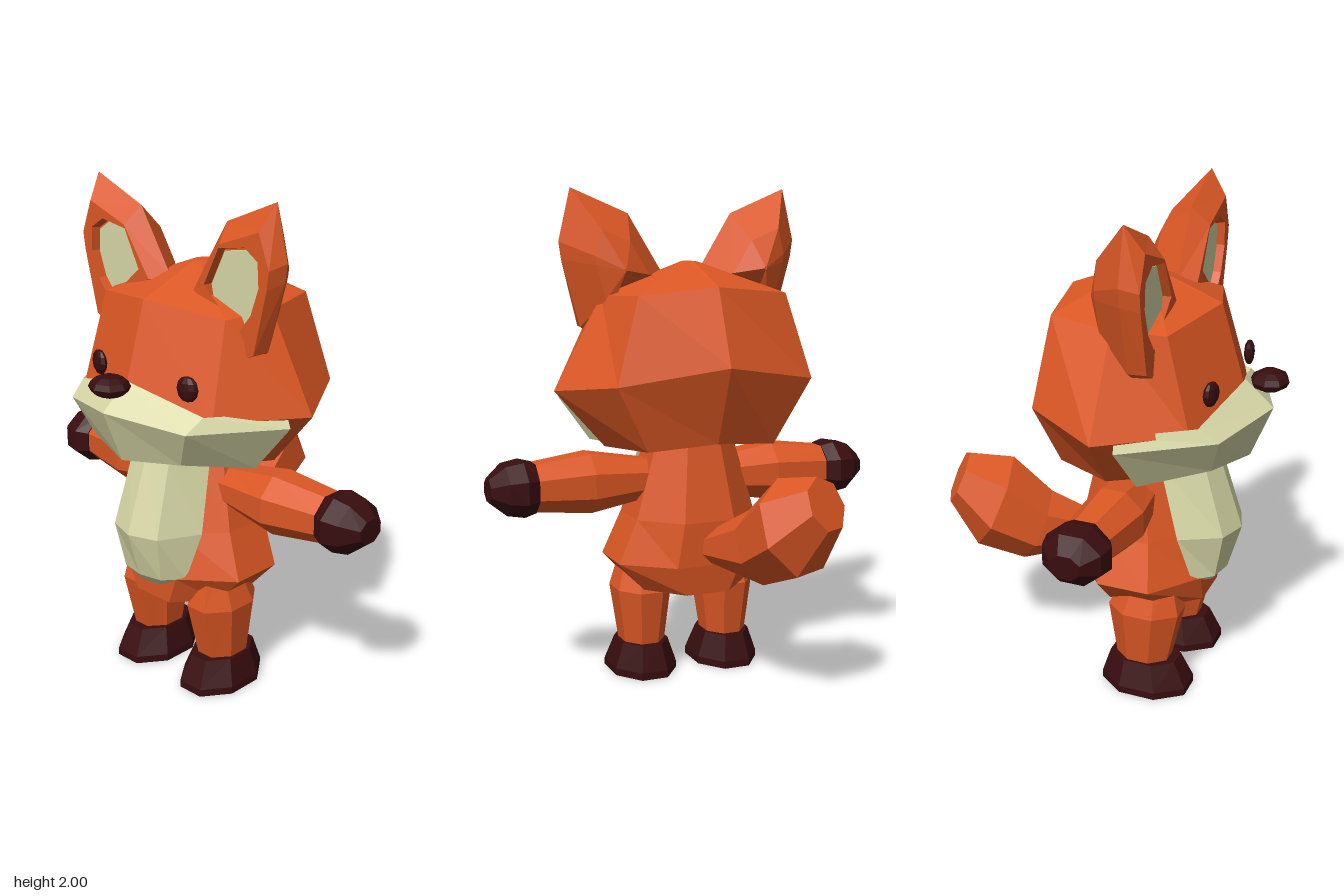
import * as THREE from 'three';

const make = (color) => new THREE.MeshStandardMaterial({ color, flatShading: true });

// Closed faceted solid through a list of equal-length point rings, capped at both ends.
function loft(rings) {
  const n = rings[0].length, tris = [];
  for (let i = 0; i < rings.length - 1; i++) {
    for (let j = 0; j < n; j++) {
      const k = (j + 1) % n, a = rings[i], b = rings[i + 1];
      tris.push([a[j], a[k], b[k]], [a[j], b[k], b[j]]);
    }
  }
  const centre = (r) => [0, 1, 2].map((c) => r.reduce((s, p) => s + p[c], 0) / n);
  const first = rings[0], last = rings[rings.length - 1], c0 = centre(first), c1 = centre(last);
  for (let j = 0; j < n; j++) {
    const k = (j + 1) % n;
    tris.push([c0, first[k], first[j]], [c1, last[j], last[k]]);
  }
  // Turn all faces outward
  const volume = tris.reduce((s, [a, b, c]) => s
    + a[0] * (b[1] * c[2] - b[2] * c[1])
    + a[1] * (b[2] * c[0] - b[0] * c[2])
    + a[2] * (b[0] * c[1] - b[1] * c[0]), 0);
  if (volume < 0) tris.forEach((t) => t.reverse());
  const geo = new THREE.BufferGeometry();
  geo.setAttribute('position', new THREE.Float32BufferAttribute(tris.flat(2), 3));
  geo.computeVertexNormals();
  return geo;
}

// Eight-sided horizontal ring
const flatRing = (x, y, z, rx, rz, n = 8, phase = Math.PI / 8) =>
  Array.from({ length: n }, (_, i) => {
    const a = phase + (i / n) * Math.PI * 2;
    return [x + rx * Math.sin(a), y, z + rz * Math.cos(a)];
  });

// Eight-sided ring facing along x
const sideRing = (x, y, z, ry, rz) =>
  Array.from({ length: 8 }, (_, i) => {
    const a = Math.PI / 8 + (i / 8) * Math.PI * 2;
    return [x, y + ry * Math.cos(a), z + rz * Math.sin(a)];
  });

// Mirror half a ring (front centre, sides, back centre) into a whole one
const wholeRing = (half) => [
  ...half,
  ...half.slice(1, -1).reverse().map(([x, y, z]) => [-x, y, z]),
];

export function createModel() {
  const orange = make(0xdb5724), cream = make(0xd6d6a6), dark = make(0x380d0f);
  orange.name = 'orange fur';
  cream.name = 'cream fur';
  dark.name = 'dark brown';

  const root = new THREE.Group();
  root.name = 'standingFox';
  const core = new THREE.Group();
  core.name = 'core';
  core.position.x = -0.035;
  root.add(core);
  const add = (name, geo, mat, parent = core) => {
    const mesh = new THREE.Mesh(geo, mat);
    mesh.name = name;
    parent.add(mesh);
    return mesh;
  };

  // Head
  add('head', loft([
    wholeRing([[0, 1.71, 0.14], [0.02, 1.71, 0.12], [0.03, 1.71, 0.09], [0.02, 1.71, 0.06], [0, 1.71, 0.04]]),
    wholeRing([[0, 1.61, 0.40], [0.32, 1.57, 0.30], [0.37, 1.58, 0.1], [0.31, 1.59, -0.16], [0, 1.62, -0.21]]),
    wholeRing([[0, 1.22, 0.52], [0.35, 1.21, 0.40], [0.57, 1.21, 0.1], [0.41, 1.25, -0.20], [0, 1.32, -0.33]]),
    wholeRing([[0, 0.97, 0.34], [0.25, 0.98, 0.27], [0.37, 0.98, 0.08], [0.27, 0.985, -0.15], [0, 1.01, -0.21]]),
  ]), orange);

  // Muzzle and cheeks, in cross-sections from cheek to cheek
  const cheek = [[0.50, 1.23, 0.165], [0.53, 1.175, 0.175], [0.39, 0.99, 0.21], [0.28, 0.97, 0.15]];
  const jaw = [[0.33, 1.235, 0.425], [0.31, 1.18, 0.5], [0.235, 1.03, 0.45], [0.2, 0.97, 0.25]];
  const mid = [[0, 1.32, 0.5], [0, 1.22, 0.615], [0, 1.01, 0.53], [0, 0.94, 0.25]];
  const flip = (r) => r.map(([x, y, z]) => [-x, y, z]);
  add('muzzle', loft([flip(cheek), flip(jaw), mid, jaw, cheek]), cream);

  // Nose and eyes
  const nose = add('nose', new THREE.SphereGeometry(1, 8, 6), dark);
  nose.scale.set(0.083, 0.042, 0.075);
  nose.position.set(0.015, 1.325, 0.592);
  for (const s of [-1, 1]) {
    const eye = add(s > 0 ? 'leftEye' : 'rightEye', new THREE.SphereGeometry(1, 10, 6), dark);
    eye.scale.set(0.046, 0.05, 0.022);
    eye.position.set(s * 0.238 + 0.022, 1.33, 0.435);
    eye.rotation.y = s * 0.25;
  }

  // Ears: a thick rim with a recessed panel, tapering to a point at the back
  const outline = [[0.465, 2.0], [0.515, 1.79], [0.505, 1.72], [0.43, 1.45], [0.37, 1.41],
    [0.31, 1.56], [0.065, 1.64], [0.225, 1.90]];
  const front = [[0.44, 1.90], [0.49, 1.77], [0.48, 1.70], [0.42, 1.45], [0.36, 1.42],
    [0.30, 1.56], [0.12, 1.64], [0.25, 1.83]];
  const panel = [[0.37, 1.83], [0.43, 1.79], [0.435, 1.70], [0.40, 1.60], [0.345, 1.53],
    [0.20, 1.58], [0.18, 1.67], [0.25, 1.81]];
  for (const s of [-1, 1]) {
    const side = s > 0 ? 'left' : 'right';
    const at = (pts, z, k = 1) => pts.map(([x, y]) =>
      [s * (0.30 + (x - 0.30) * k), 1.68 + (y - 1.68) * k, z]);
    add(side + 'Ear', loft([at(outline, 0.0, 0.03), at(outline, 0.055, 0.5), at(outline, 0.19),
      at(front, 0.26), at(panel, 0.26, 1.05), at(panel, 0.225)]), orange);
    add(side + 'EarPanel', loft([at(panel, 0.223, 0.95), at(panel, 0.231, 0.95)]), cream);
  }

  // Torso
  add('torso', loft([
    flatRing(0, 1.0, 0.09, 0.18, 0.17),
    flatRing(0, 0.68, 0.11, 0.28, 0.26),
    flatRing(0, 0.5, 0.13, 0.36, 0.28),
    flatRing(0, 0.38, 0.135, 0.24, 0.27),
    flatRing(0, 0.345, 0.135, 0.08, 0.1),
  ]), orange);

  // Belly patch
  const bellyRow = (y, z, zMid, zEdge, xMid, xEdge) =>
    wholeRing([[0, y, z], [xMid, y, zMid], [xEdge, y, zEdge], [0, y, zEdge - 0.06]]);
  add('belly', loft([
    bellyRow(0.98, 0.41, 0.38, 0.22, 0.1, 0.165),
    bellyRow(0.69, 0.51, 0.47, 0.31, 0.12, 0.205),
    bellyRow(0.5, 0.455, 0.435, 0.36, 0.1, 0.165),
    bellyRow(0.46, 0.42, 0.41, 0.36, 0.06, 0.1),
  ]), cream);

  for (const s of [-1, 1]) {
    const side = s > 0 ? 'left' : 'right';
    const y = s > 0 ? 0.835 : 0.825;
    // Arms held straight out
    add(side + 'Arm', loft([
      sideRing(s * 0.12, y, 0.11, 0.08, 0.09),
      sideRing(s * 0.4, y, 0.11, 0.13, 0.13),
      sideRing(s * 0.65, y, 0.09, 0.1, 0.1),
    ]), orange, root);
    add(side + 'Hand', loft([
      sideRing(s * 0.63, y, 0.09, 0.105, 0.11),
      sideRing(s * 0.68, y, 0.09, 0.118, 0.14),
      sideRing(s * 0.75, y, 0.09, 0.105, 0.125),
      sideRing(s * 0.813, y, 0.09, 0.05, 0.065),
    ]), dark, root);
    // Legs and feet
    const x = s * 0.186;
    add(side + 'Leg', loft([
      flatRing(x, 0.1, 0.17, 0.09, 0.11),
      flatRing(x, 0.36, 0.18, 0.125, 0.16),
      flatRing(x, 0.55, 0.2, 0.06, 0.09),
    ]), orange);
    add(side + 'Foot', loft([
      flatRing(x, 0, 0.185, 0.145, 0.195),
      flatRing(x, 0.03, 0.185, 0.145, 0.195),
      flatRing(x, 0.135, 0.175, 0.107, 0.15),
    ]), dark);
  }

  // Tail, swinging up and to the right behind the body
  const axis = new THREE.Vector3(-0.27, 0.27, -0.52).normalize();
  const across = new THREE.Vector3(0, 1, 0).cross(axis).normalize();
  const up = axis.clone().cross(across);
  const tailRing = (x, y, z, r) => Array.from({ length: 7 }, (_, i) => {
    const a = (i / 7) * Math.PI * 2;
    return new THREE.Vector3(x, y, z)
      .addScaledVector(across, r * Math.sin(a)).addScaledVector(up, r * Math.cos(a)).toArray();
  });
  add('tail', loft([
    tailRing(-0.05, 0.56, -0.08, 0.06),
    tailRing(-0.17, 0.61, -0.33, 0.155),
    tailRing(-0.23, 0.72, -0.49, 0.2),
    tailRing(-0.3, 0.83, -0.61, 0.11),
  ]), orange, root);

  return root;
}
